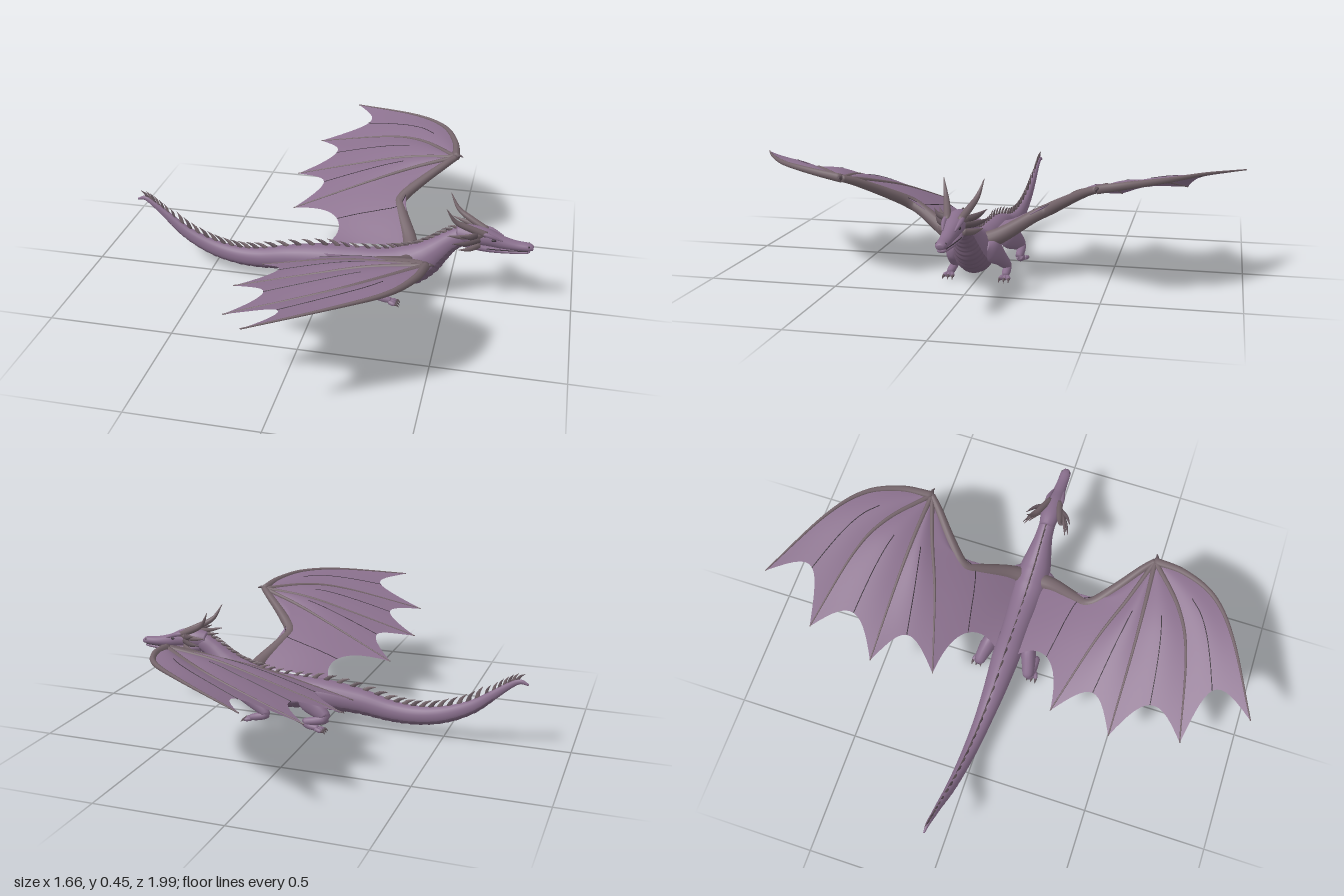
import * as THREE from 'three';

const mat = (name, color, side = THREE.FrontSide) => {
  const m = new THREE.MeshStandardMaterial({ color, side });
  m.name = name;
  return m;
};
const V = (p) => new THREE.Vector3(...p);
const UP = new THREE.Vector3(0, 1, 0);

// Smooth path through stations [x, y, z, ry, rz], returning point, frame and radii
function path(stations) {
  const c = new THREE.CatmullRomCurve3(stations.map((s) => V(s.slice(0, 3))), false, 'catmullrom');
  const r = new THREE.CatmullRomCurve3(stations.map((s) => V([s[3], s[4] ?? s[3], 0])), false, 'catmullrom');
  return (t) => {
    const p = c.getPoint(t), q = r.getPoint(t), T = c.getTangent(t);
    const S = T.clone().cross(UP).normalize();
    return { p, T, S, N: S.clone().cross(T), ry: Math.max(q.x, 0), rz: Math.max(q.y, 0) };
  };
}

// Skin of elliptical rings along a path; an arc [a0, a1] leaves it open
function loft(f, n, m, arc = null, scale = () => 1) {
  const pos = [], idx = [], cols = arc ? m + 1 : m;
  const [a0, a1] = arc ?? [0, Math.PI * 2];
  for (let i = -1; i <= n + 1; i++) {
    const t = Math.min(Math.max(i / n, 0), 1), k = i < 0 || i > n ? 0 : scale(t, i);
    const { p, S, N, ry, rz } = f(t);
    for (let j = 0; j < cols; j++) {
      const a = a0 + ((a1 - a0) * j) / m;
      const v = p.clone().addScaledVector(N, Math.sin(a) * ry * k).addScaledVector(S, Math.cos(a) * rz * k);
      pos.push(v.x, v.y, v.z);
    }
  }
  for (let i = 0; i < n + 2; i++) for (let j = 0; j < m; j++) {
    const j2 = (j + 1) % cols, a = i * cols + j, b = i * cols + j2, c = a + cols, d = b + cols;
    idx.push(a, c, b, b, c, d);
  }
  return surface(pos, idx);
}

function surface(pos, idx) {
  const g = new THREE.BufferGeometry();
  g.setAttribute('position', new THREE.Float32BufferAttribute(pos, 3));
  g.setIndex(idx);
  g.computeVertexNormals();
  return g;
}

export function createModel() {
  const hide = mat('hide purple', 0x896f8d);
  const skin = mat('membrane purple', 0x8b718e, THREE.DoubleSide);
  const bone = mat('wing bone brown', 0x74646a);
  const belly = mat('belly plum', 0x776079, THREE.DoubleSide);
  const horn = mat('horn grey', 0x62545b);
  const dark = mat('dark vein', 0x3c333c);

  const model = new THREE.Group();
  model.name = 'dragon';
  const add = (parent, name, geo, material) => {
    const m = new THREE.Mesh(geo, material);
    m.name = name;
    parent.add(m);
    return m;
  };
  const limb = (parent, name, stations, material, n = 20, m = 12) =>
    add(parent, name, loft(path(stations), n, m), material);

  // Tail, torso and neck in one skin
  const spine = path([
    [-0.83, 0.275, -0.055, 0.004, 0.003], [-0.795, 0.283, -0.052, 0.01, 0.008],
    [-0.755, 0.26, -0.047, 0.013, 0.01], [-0.7, 0.217, -0.042, 0.018, 0.013],
    [-0.61, 0.15, -0.032, 0.027, 0.019], [-0.5, 0.102, -0.022, 0.034, 0.025],
    [-0.39, 0.082, -0.013, 0.038, 0.031], [-0.28, 0.085, -0.006, 0.043, 0.037],
    [-0.15, 0.107, 0, 0.052, 0.047], [0, 0.12, 0, 0.061, 0.058],
    [0.12, 0.118, 0, 0.067, 0.059], [0.24, 0.117, 0, 0.076, 0.066],
    [0.33, 0.13, 0, 0.086, 0.073], [0.4, 0.168, 0, 0.075, 0.064],
    [0.45, 0.212, 0, 0.057, 0.05], [0.5, 0.258, 0, 0.043, 0.037],
    [0.55, 0.288, 0, 0.039, 0.033], [0.6, 0.29, 0, 0.034, 0.03],
  ]);
  add(model, 'body', loft(spine, 140, 24), hide);

  // Overlapping belly plates
  const under = (t) => spine(0.18 + t * 0.76);
  add(model, 'bellyPlates', loft(under, 160, 14, [-Math.PI * 0.84, -Math.PI * 0.16],
    (t, i) => 1.0 + 0.055 * ((i % 4) / 3)), belly);

  // Row of backswept spines
  for (let i = 0; i < 42; i++) {
    const t = 0.06 + i * 0.0212, s = spine(t);
    const h = t < 0.2 ? 0.022 : t < 0.55 ? 0.03 : 0.023;
    const at = (b, u) => s.p.clone().addScaledVector(s.N, s.ry - 0.004 + u * h).addScaledVector(s.T, -b * h).toArray();
    limb(model, 'backSpine', [[...at(-0.4, 0), h * 0.4, h * 0.16], [...at(0.3, 0.65), h * 0.25, h * 0.1],
      [...at(1.25, 1.0), 0.0005]], i % 2 ? bone : horn, 6, 6);
  }

  // Head and lower jaw
  limb(model, 'skull', [[0.53, 0.294, 0, 0.036, 0.03], [0.58, 0.3, 0, 0.039, 0.039], [0.64, 0.295, 0, 0.034, 0.038],
    [0.7, 0.28, 0, 0.026, 0.028], [0.76, 0.271, 0, 0.019, 0.023], [0.81, 0.269, 0, 0.016, 0.021],
    [0.829, 0.265, 0, 0.009, 0.013]], hide, 36, 20);
  limb(model, 'lowerJaw', [[0.55, 0.27, 0, 0.025, 0.028], [0.64, 0.252, 0, 0.018, 0.028], [0.72, 0.245, 0, 0.011, 0.021],
    [0.8, 0.249, 0, 0.008, 0.017], [0.817, 0.25, 0, 0.004, 0.01]], hide, 24, 14);

  // One half, built for +z
  function half(name) {
    const g = new THREE.Group();
    g.name = name;

    // Horns, cheek spikes, brow, eye, nostril
    limb(g, 'horn', [[0.645, 0.315, 0.022, 0.013], [0.58, 0.345, 0.04, 0.013], [0.525, 0.378, 0.058, 0.009],
      [0.49, 0.437, 0.075, 0.001]], bone, 16, 10);
    const cheeks = [[0.5, 0.328, 0.088, 0.315], [0.52, 0.3, 0.098, 0.295], [0.545, 0.268, 0.082, 0.27], [0.55, 0.335, 0.095, 0.315]];
    cheeks.forEach(([x, y, z, y0], i) => limb(g, 'cheekSpike', [[0.63 - i * 0.005, y0, 0.027, 0.013, 0.01],
      [(x + 0.63) / 2, (y + y0) / 2 - 0.004, z * 0.72, 0.011, 0.007], [x, y, z, 0.001]], i % 2 ? horn : bone, 10, 8));
    limb(g, 'brow', [[0.61, 0.326, 0.03, 0.006], [0.66, 0.315, 0.03, 0.009], [0.71, 0.295, 0.022, 0.003]], hide, 10, 8);
    const eye = add(g, 'eye', new THREE.SphereGeometry(0.008, 12, 8), dark);
    eye.position.set(0.675, 0.297, 0.03);
    eye.scale.set(1.3, 0.7, 0.6);
    const nostril = add(g, 'nostril', new THREE.SphereGeometry(0.004, 8, 6), dark);
    nostril.position.set(0.812, 0.276, 0.016);
    limb(g, 'mouthLine', [[0.65, 0.258, 0.031, 0.002], [0.72, 0.255, 0.0225, 0.002], [0.81, 0.257, 0.016, 0.002]], dark, 12, 6);

    // Folded legs with toes and claws
    const leg = (label, st, foot) => {
      limb(g, label, st, hide, 36, 16);
      for (const k of [-1, 0, 1]) {
        const [x, y, z, d] = foot, zt = z + k * 0.014;
        limb(g, label + 'Toe', [[x, y, z + k * 0.007, 0.009], [x + d * 0.6, y - 0.002, zt, 0.009],
          [x + d, y - 0.004, zt + k * 0.003, 0.006]], hide, 8, 8);
        limb(g, label + 'Claw', [[x + d * 0.95, y - 0.003, zt + k * 0.003, 0.006], [x + d * 1.3, y - 0.004, zt + k * 0.004, 0.004],
          [x + d * 1.6, 0.001, zt + k * 0.005, 0.0005]], horn, 6, 6);
      }
    };
    leg('hindLeg', [[0.085, 0.135, 0.052, 0.025, 0.02], [0.055, 0.118, 0.077, 0.05, 0.032], [0.0, 0.085, 0.097, 0.038, 0.028],
      [-0.035, 0.058, 0.108, 0.023, 0.022], [0.0, 0.044, 0.115, 0.018], [0.048, 0.034, 0.118, 0.015],
      [0.03, 0.02, 0.12, 0.013], [-0.01, 0.015, 0.122, 0.012]], [-0.002, 0.013, 0.122, -0.028]);
    leg('foreLeg', [[0.385, 0.155, 0.05, 0.022, 0.02], [0.355, 0.135, 0.076, 0.045, 0.028], [0.3, 0.095, 0.092, 0.032, 0.024],
      [0.235, 0.052, 0.102, 0.021, 0.02], [0.225, 0.036, 0.106, 0.016], [0.262, 0.026, 0.108, 0.016],
      [0.29, 0.02, 0.11, 0.012]], [0.285, 0.016, 0.11, 0.026]);

    // Wing arm and thumb claw
    const wrist = [0.465, 0.41, 0.475];
    limb(g, 'wingArm', [[0.345, 0.165, 0.04, 0.034], [0.325, 0.195, 0.11, 0.03], [0.275, 0.255, 0.215, 0.024],
      [0.262, 0.285, 0.275, 0.024], [0.33, 0.335, 0.35, 0.02], [0.42, 0.388, 0.43, 0.016], [...wrist, 0.013]], bone, 40, 14);
    limb(g, 'thumbClaw', [[0.455, 0.403, 0.47, 0.011], [0.478, 0.416, 0.478, 0.007], [0.497, 0.413, 0.473, 0.001]], horn, 8, 8);

    // Wing fingers, front to back
    const fingers = [
      [wrist, [0.445, 0.428, 0.6], [0.375, 0.44, 0.735], [0.225, 0.437, 0.85], [-0.06, 0.405, 0.995]],
      [wrist, [0.3, 0.41, 0.615], [0.13, 0.382, 0.695], [-0.195, 0.3, 0.77]],
      [wrist, [0.26, 0.385, 0.487], [0.06, 0.335, 0.495], [-0.24, 0.25, 0.5]],
      [wrist, [0.29, 0.37, 0.415], [0.1, 0.315, 0.34], [-0.2, 0.205, 0.25]],
    ];
    fingers.forEach((f, i) => {
      const w = i ? 0.011 : 0.017, n = f.length - 1;
      limb(g, 'wingFinger', f.map((p, j) => [...p, w + (0.0025 - w) * (j / n)]), bone, 32, 8);
    });

    // Membrane panels with scalloped trailing edges and a central vein
    const edges = [...fingers, [wrist, [0.262, 0.285, 0.265], [0.335, 0.19, 0.08], [0.18, 0.178, 0.055], [0.0, 0.168, 0.05]]]
      .map((f) => new THREE.CatmullRomCurve3(f.map(V), false, 'catmullrom'));
    for (let e = 0; e < 4; e++) {
      const at = (t, s) => {
        const u = t * (1 - 0.13 * 4 * s * (1 - s));
        const p = edges[e].getPoint(u).lerp(edges[e + 1].getPoint(u), s);
        p.y += 0.014 * Math.sin(Math.PI * s) * Math.sin(Math.PI * u);
        return p;
      };
      const pos = [], idx = [], nt = 28, ns = 14;
      for (let i = 0; i <= nt; i++) for (let j = 0; j <= ns; j++) pos.push(...at(i / nt, j / ns).toArray());
      for (let i = 0; i < nt; i++) for (let j = 0; j < ns; j++) {
        const a = i * (ns + 1) + j, c = a + ns + 1;
        idx.push(a, a + 1, c, a + 1, c + 1, c);
      }
      add(g, 'wingMembrane', surface(pos, idx), skin);
      const vein = [0.45, 0.6, 0.75, 0.88, 1].map((t) => [...at(t, 0.5).toArray(), 0.0018]);
      limb(g, 'membraneVein', vein, dark, 20, 5);
    }
    return g;
  }

  const left = half('nearHalf'), right = half('farHalf');
  right.scale.z = -1;
  model.add(left, right);
  return model;
}
